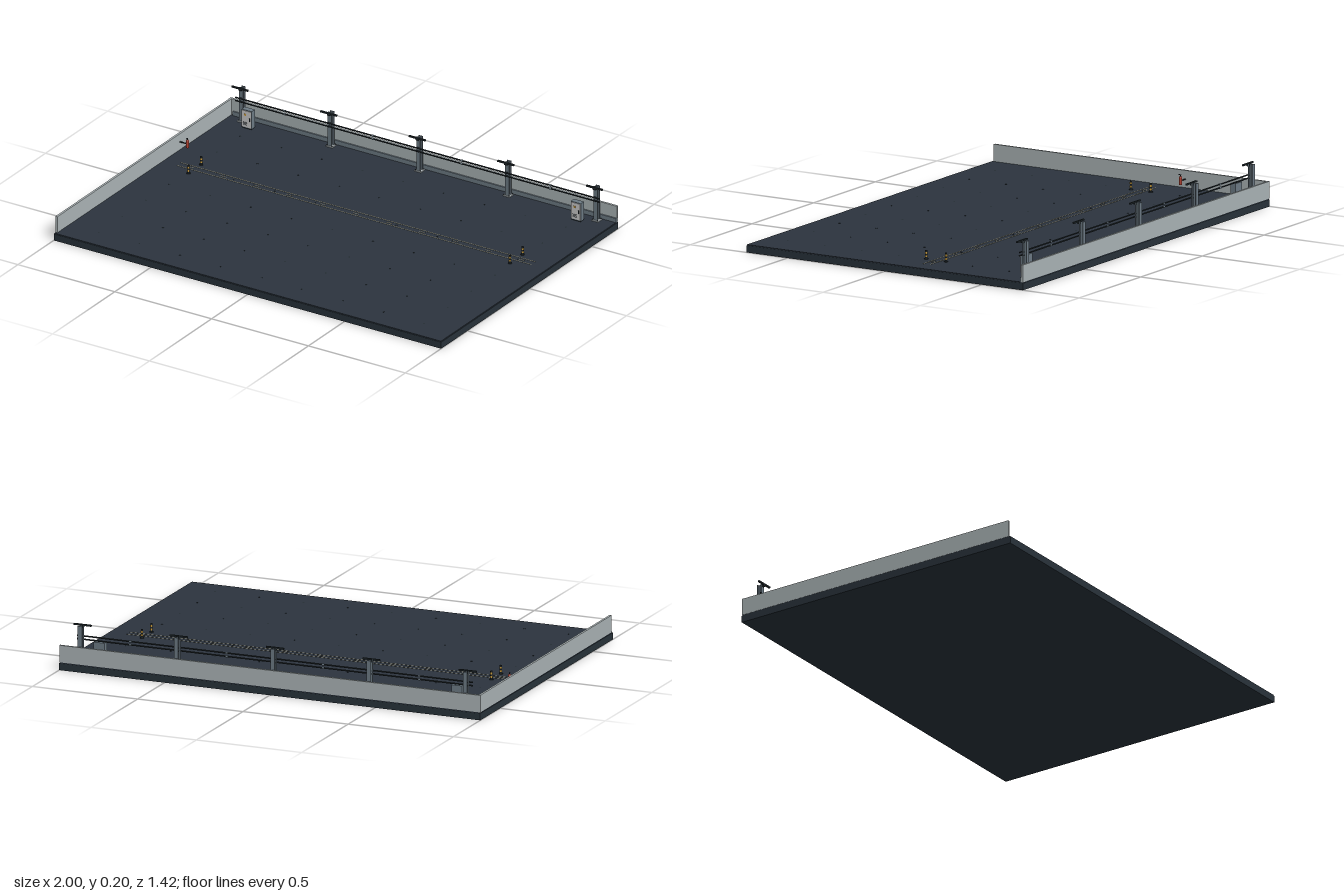
import * as THREE from 'three';

const colors = {
  floor: 0x2c343e, slab: 0x28323a, wall: 0xaab3b5, steel: 0x6c7a84, dark: 0x20282c,
  panel: 0xc4c8c6, plate: 0xb4bcc0, yellow: 0xc89a3a, line: 0x8c8a78, red: 0xb04030,
};
const mats = {};
for (const k in colors) mats[k] = new THREE.MeshStandardMaterial({ color: colors[k] });

function add(parent, name, geo, mat, x, y, z) {
  const m = new THREE.Mesh(geo, mats[mat]);
  m.name = name;
  m.position.set(x, y, z);
  parent.add(m);
  return m;
}
const box = (p, name, mat, w, h, d, x, y, z) =>
  add(p, name, new THREE.BoxGeometry(w, h, d), mat, x, y, z);
const rod = (p, name, mat, r, h, x, y, z, sides = 12) =>
  add(p, name, new THREE.CylinderGeometry(r, r, h, sides), mat, x, y, z);

function part(parent, name, x, y, z) {
  const g = new THREE.Group();
  g.name = name;
  g.position.set(x, y, z);
  parent.add(g);
  return g;
}

// I-section column with base plate, bolts and a cross arm at the top
function addPost(parent, x, top) {
  const g = part(parent, 'post', x, top, -0.672);
  box(g, 'basePlate', 'plate', 0.034, 0.004, 0.034, 0, 0.002, 0);
  box(g, 'web', 'steel', 0.005, 0.165, 0.018, 0, 0.0825, 0);
  for (const s of [-1, 1]) {
    box(g, 'flange', 'steel', 0.02, 0.165, 0.004, 0, 0.0825, s * 0.009);
    for (const t of [-1, 1]) rod(g, 'bolt', 'dark', 0.002, 0.004, s * 0.013, 0.006, t * 0.013, 6);
  }
  box(g, 'armBracket', 'dark', 0.014, 0.012, 0.016, 0, 0.16, 0.014);
  box(g, 'crossArm', 'dark', 0.084, 0.007, 0.008, 0, 0.164, 0.019);
  for (const y of [0.1, 0.115]) box(g, 'railBracket', 'dark', 0.012, 0.005, 0.012, 0, y, 0.012);
}

// Wall cabinet with light door, vents, handle and indicator
function addCabinet(parent, x) {
  const g = part(parent, 'cabinet', x, 0.082, -0.63);
  box(g, 'cabinetBody', 'steel', 0.052, 0.084, 0.026, 0, 0, 0);
  box(g, 'cabinetDoor', 'panel', 0.047, 0.078, 0.003, 0, 0, 0.014);
  box(g, 'handle', 'dark', 0.003, 0.016, 0.004, 0.017, 0, 0.017);
  for (let i = 0; i < 3; i++) box(g, 'vent', 'dark', 0.02, 0.002, 0.002, -0.006, -0.028 + i * 0.006, 0.0155);
  box(g, 'warningPlate', 'yellow', 0.01, 0.009, 0.002, -0.006, 0.02, 0.0155);
  box(g, 'cabinetFoot', 'dark', 0.046, 0.006, 0.022, 0, -0.044, 0);
}

// Short bollard with yellow bands
function addBollard(parent, x, y, z) {
  const g = part(parent, 'bollard', x, y, z);
  rod(g, 'bollardFoot', 'dark', 0.009, 0.004, 0, 0.002, 0);
  rod(g, 'bollardBody', 'dark', 0.005, 0.04, 0, 0.02, 0);
  for (const h of [0.014, 0.029]) rod(g, 'bollardBand', 'yellow', 0.0056, 0.008, 0, h, 0);
}

export function createModel() {
  const model = new THREE.Group();
  model.name = 'platform';
  const top = 0.035;

  // Floor slab
  box(model, 'slab', 'slab', 2, 0.031, 1.424, 0, 0.0155, 0);
  box(model, 'floor', 'floor', 1.996, 0.004, 1.42, 0, 0.033, 0);

  // Low walls on the back and one side, with skirting
  box(model, 'backWall', 'wall', 2, 0.077, 0.01, 0, 0.0735, -0.706);
  box(model, 'sideWall', 'wall', 0.01, 0.077, 1.402, -0.994, 0.0735, 0);
  box(model, 'backSkirting', 'steel', 1.98, 0.02, 0.006, 0.01, 0.045, -0.698);

  // Posts joined by two rails
  for (let i = -2; i <= 2; i++) addPost(model, i * 0.4575, top);
  for (const y of [0.135, 0.15]) {
    rod(model, 'rail', 'dark', 0.0035, 1.88, 0, y, -0.655, 8).rotation.z = Math.PI / 2;
    for (const x of [-0.686, -0.229, 0.229, 0.686])
      rod(model, 'railCollar', 'steel', 0.005, 0.01, x, y, -0.655, 8).rotation.z = Math.PI / 2;
  }

  for (const x of [-0.858, 0.842]) addCabinet(model, x);

  // Floor marking: two edge lines and a dashed centre line
  for (const z of [-0.178, -0.145]) box(model, 'edgeLine', 'line', 1.83, 0.001, 0.004, 0, top + 0.0005, z);
  for (let i = -5; i <= 5; i++) box(model, 'dash', 'line', 0.03, 0.001, 0.004, i * 0.171, top + 0.0005, -0.161);

  // Bollards at both ends of the marking
  for (const x of [-0.83, 0.83]) for (const z of [-0.208, -0.106]) addBollard(model, x, top, z);

  // Fire extinguisher by the side wall
  const ext = part(model, 'extinguisher', -0.95, 0.055, -0.285);
  rod(ext, 'tank', 'red', 0.007, 0.032, 0, 0.016, 0, 16);
  add(ext, 'tankDome', new THREE.SphereGeometry(0.007, 16, 8), 'red', 0, 0.032, 0);
  rod(ext, 'valve', 'dark', 0.0025, 0.008, 0, 0.041, 0, 8);
  box(ext, 'lever', 'dark', 0.004, 0.002, 0.012, 0, 0.045, 0.003);
  box(ext, 'wallBracket', 'dark', 0.035, 0.004, 0.005, -0.021, 0.018, 0);

  // Small flush studs spread over the floor
  const stud = new THREE.CylinderGeometry(0.004, 0.004, 0.001, 8);
  for (let i = -4; i <= 4; i++)
    for (let j = -3; j <= 3; j++)
      add(model, 'floorStud', stud, 'dark', i * 0.21, top + 0.0003, j * 0.19 + 0.03);

  return model;
}
